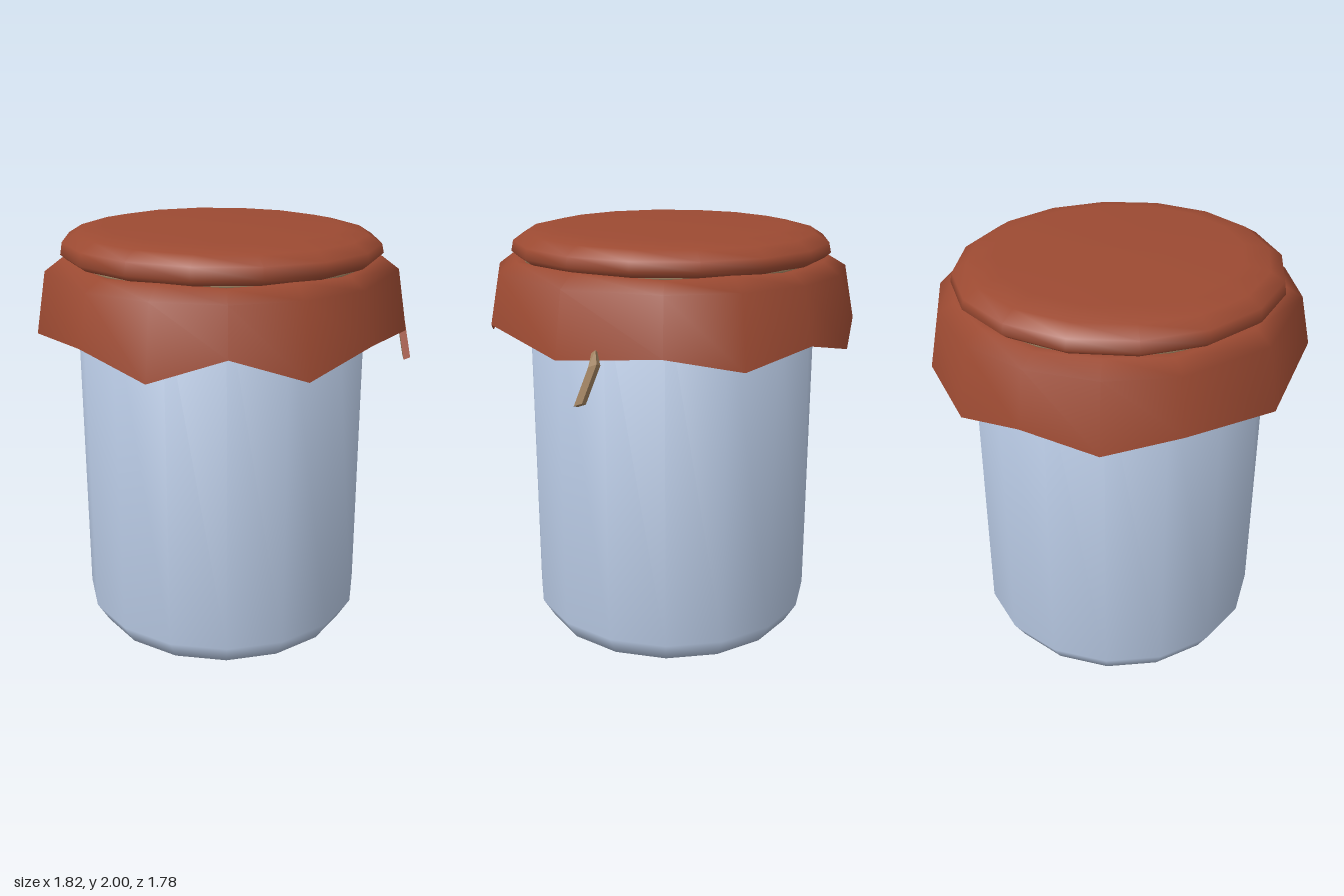
import * as THREE from 'three';

const CX = -0.03; // the jar sits a little off centre to leave room for the loose tie
const V = (r, y) => new THREE.Vector2(r, y);

export function createModel() {
  const glass = new THREE.MeshStandardMaterial({ name: 'pale blue glaze', color: 0xb4c5df });
  const cloth = new THREE.MeshStandardMaterial({ name: 'rust cloth', color: 0x9c4a32, side: THREE.DoubleSide });
  const twine = new THREE.MeshStandardMaterial({ name: 'tan twine', color: 0xa08260 });

  const model = new THREE.Group();
  model.name = 'coveredJar';
  const add = (name, geometry, material) => {
    const mesh = new THREE.Mesh(geometry, material);
    mesh.name = name;
    model.add(mesh);
    return mesh;
  };

  // Jar: closed round body with a bevelled foot
  const jar = add('jarBody', new THREE.LatheGeometry(
    [V(0, 0), V(0.64, 0), V(0.7, 0.1), V(0.7, 1.78), V(0, 1.78)], 16), glass);
  jar.position.x = CX;

  // Cloth over the lid: padded disc pinched in below, tipped very slightly
  const capGeo = new THREE.LatheGeometry(
    [V(0.7, 1.835), V(0.735, 1.85), V(0.765, 1.875), V(0.755, 1.925), V(0.69, 1.965), V(0.57, 1.99), V(0, 1.998)],
    16, Math.PI / 16);
  const p = capGeo.attributes.position;
  for (let i = 0; i < p.count; i++) {
    const y = p.getY(i);
    if (y > 1.9 && y < 1.995) p.setY(i, y - 0.009 * p.getX(i) + 0.006 * p.getZ(i));
  }
  add('clothTop', capGeo, cloth).position.x = CX;

  // Twine in the pinched groove
  const ring = add('tieRing', new THREE.TorusGeometry(0.705, 0.013, 6, 32), twine);
  ring.rotation.x = Math.PI / 2;
  ring.position.set(CX, 1.845, 0);

  // Cloth skirt: [angle from the front in degrees, hem height], mirrored left to right
  const half = [[0, 1.58], [22.5, 1.46], [45, 1.56], [81, 1.5], [112.5, 1.54], [135, 1.47], [157.5, 1.54], [180, 1.46]];
  const hem = [...half, ...half.slice(1, -1).reverse().map(([a, y]) => [360 - a, y])];
  const n = hem.length;
  const pos = [];
  const index = [];
  hem.forEach(([deg, y], i) => {
    const a = THREE.MathUtils.degToRad(deg);
    const wave = i % 2 ? 0.008 : -0.004;
    for (const [r, h] of [[0.7, 1.84 + wave], [0.76, 1.846 + wave], [0.84, 1.795], [0.89, y]]) {
      pos.push(r * Math.sin(a), h, r * Math.cos(a));
    }
    const j = (i + 1) % n;
    for (let k = 0; k < 3; k++) {
      const A = i * 4 + k, B = j * 4 + k;
      index.push(A, A + 1, B + 1, A, B + 1, B);
    }
  });
  const skirtGeo = new THREE.BufferGeometry();
  skirtGeo.setAttribute('position', new THREE.Float32BufferAttribute(pos, 3));
  skirtGeo.setIndex(index);
  skirtGeo.computeVertexNormals();
  add('clothSkirt', skirtGeo, cloth).position.x = CX;

  // Loose end of the tie: a bent strip, cloth-coloured on its front face
  const tieGeo = new THREE.BoxGeometry(0.032, 2, 0.04, 1, 2, 1);
  const path = [[0.89, 1.33, 0], [0.865, 1.5, -0.06], [0.835, 1.55, -0.045]]; // bottom to top
  const t = tieGeo.attributes.position;
  for (let i = 0; i < t.count; i++) {
    const k = Math.round(t.getY(i)) + 1;
    const [x, y, z] = path[k];
    const s = k === 2 ? 0.5 : 1;
    t.setXYZ(i, x + t.getX(i) * s, y + t.getX(i) * 0.4 - t.getZ(i) * 0.4, z + t.getZ(i) * s);
  }
  const flatTie = tieGeo.toNonIndexed();
  tieGeo.groups.forEach((g) => flatTie.groups.includes(g) || flatTie.addGroup(g.start, g.count, g.materialIndex));
  flatTie.clearGroups();
  tieGeo.groups.forEach((g) => flatTie.addGroup(g.start, g.count, g.materialIndex));
  flatTie.computeVertexNormals();
  add('tieEnd', flatTie, [twine, twine, twine, twine, cloth, twine]);

  return model;
}
